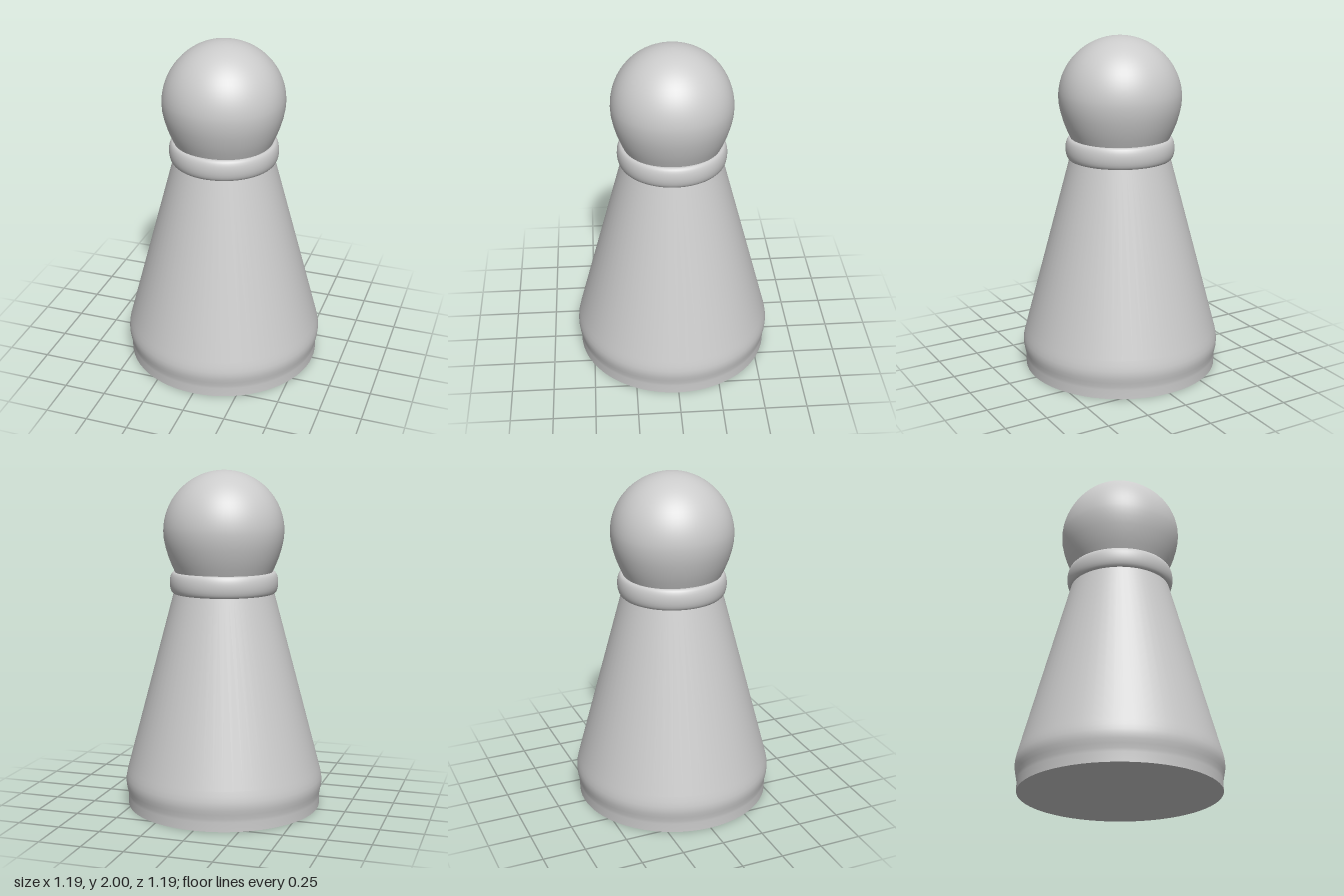
import * as THREE from 'three';

const material = new THREE.MeshStandardMaterial({ color: 0xcccccc });
const SEGMENTS = 64;

// Smooth turned part from [radius, height] pairs, listed bottom to top
function turned(name, points) {
  const profile = points.map(([r, y]) => new THREE.Vector2(r, y));
  const mesh = new THREE.Mesh(new THREE.LatheGeometry(profile, SEGMENTS), material);
  mesh.name = name;
  return mesh;
}

// Flat disc closing a turned part
function disc(name, radius, y, facing) {
  const geometry = new THREE.CircleGeometry(radius, SEGMENTS);
  geometry.rotateX(-facing * Math.PI / 2);
  const mesh = new THREE.Mesh(geometry, material);
  mesh.name = name;
  mesh.position.y = y;
  return mesh;
}

// Round head, flared into the neck and swelling slightly on the diagonals
function createHead() {
  const centre = 1.645, points = [[0.284, 1.4], [0.304, 1.445], [0.323, 1.495], [0.339, 1.55], [0.349, 1.6]];
  for (let i = 0; i <= 18; i++) {
    const a = (i / 18) * Math.PI / 2;
    points.push([i === 18 ? 0 : 0.352 * Math.cos(a), centre + 0.355 * Math.sin(a)]);
  }
  const head = turned('head', points);
  const p = head.geometry.attributes.position;
  for (let i = 0; i < p.count; i++) {
    const x = p.getX(i), z = p.getZ(i);
    const swell = 1 + 0.028 * Math.sin(2 * Math.atan2(z, x)) ** 2 * Math.min(1, Math.hypot(x, z) / 0.352);
    p.setX(i, x * swell);
    p.setZ(i, z * swell);
  }
  return head;
}

export function createModel() {
  const group = new THREE.Group();
  group.name = 'pawn';

  // Tapered body with a rounded lip above a short straight foot
  group.add(turned('body', [
    [0.579, 0], [0.579, 0.055], [0.581, 0.075], [0.586, 0.1], [0.591, 0.125],
    [0.593, 0.15], [0.591, 0.175], [0.585, 0.205], [0.577, 0.235], [0.298, 1.282],
  ]));
  group.add(disc('base', 0.579, 0, -1));

  // Rounded collar between body and head
  const collar = [];
  for (let i = 0; i <= 12; i++) {
    const a = (i / 12 - 0.5) * Math.PI;
    collar.push([0.296 + 0.025 * Math.cos(a), 1.343 + 0.063 * Math.sin(a)]);
  }
  group.add(turned('collar', collar));
  group.add(disc('collarTop', 0.296, 1.406, 1));
  group.add(disc('collarUnderside', 0.298, 1.28, -1));

  group.add(createHead());
  return group;
}
